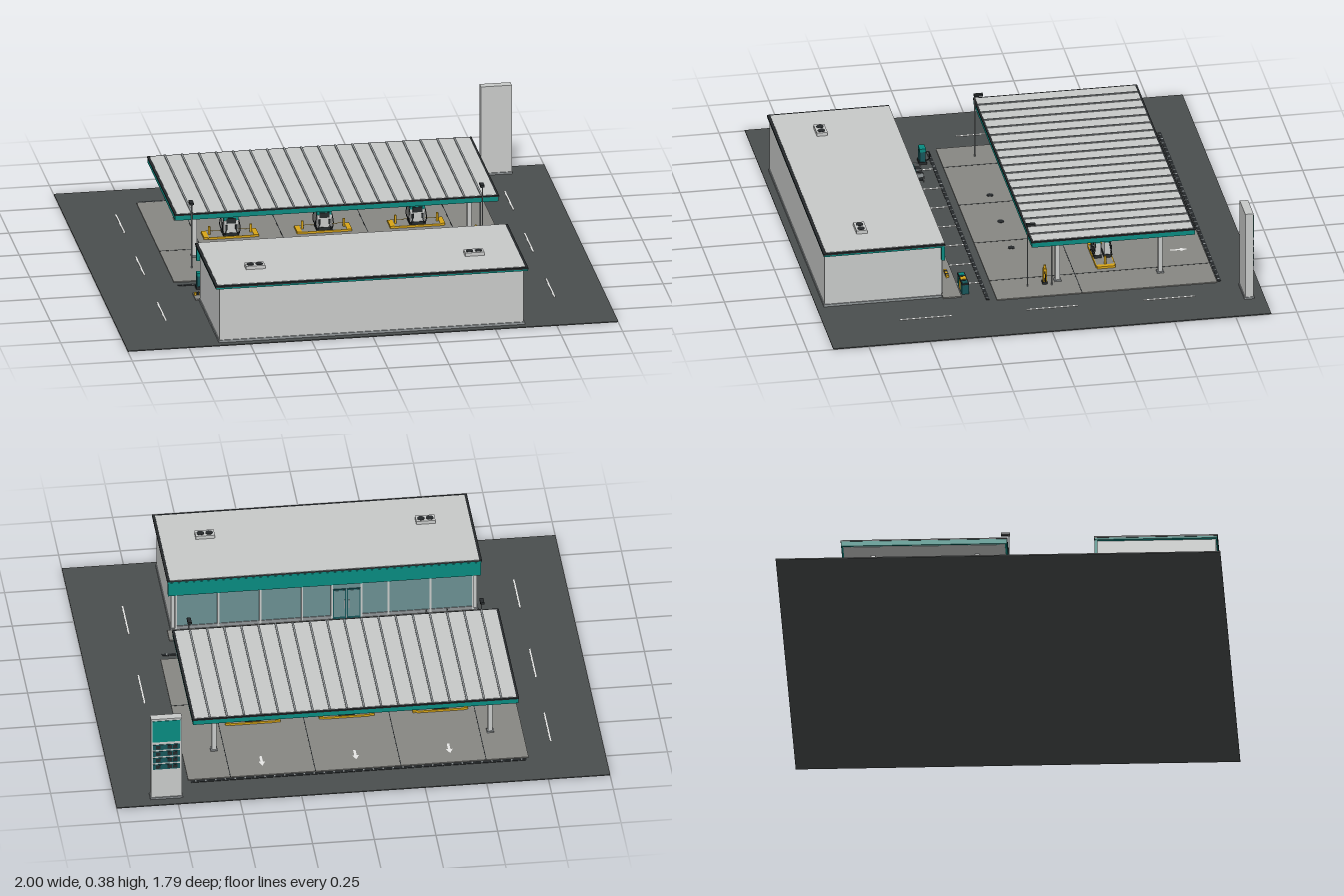
import * as THREE from 'three';

const mat = (name, color, side = THREE.FrontSide) => {
  const m = new THREE.MeshStandardMaterial({ color, side });
  m.name = name;
  return m;
};

export function createModel() {
  const asphalt = mat('asphalt', 0x4a4e4e), concrete = mat('concrete', 0x878783);
  const panel = mat('light panel', 0xc8cac9), teal = mat('teal', 0x078a80);
  const dark = mat('dark trim', 0x25292b), glass = mat('glass', 0x6b8f92);
  const yellow = mat('safety yellow', 0xd9a516), white = mat('white', 0xf0f0ee);
  const steel = mat('steel', 0x8f9496), deepTeal = mat('deep teal', 0x16565a);

  const model = new THREE.Group();
  model.name = 'fuelStation';
  const group = (name, x = 0, z = 0, parent = model) => {
    const g = new THREE.Group();
    g.name = name;
    g.position.set(x, 0, z);
    parent.add(g);
    return g;
  };
  const add = (parent, name, geo, m, x, y, z) => {
    const mesh = new THREE.Mesh(geo, m);
    mesh.name = name;
    mesh.position.set(x, y, z);
    parent.add(mesh);
    return mesh;
  };
  // Box given by its minimum and maximum on each axis
  const box = (p, name, m, x0, x1, y0, y1, z0, z1) =>
    add(p, name, new THREE.BoxGeometry(x1 - x0, y1 - y0, z1 - z0), m, (x0 + x1) / 2, (y0 + y1) / 2, (z0 + z1) / 2);
  const cyl = (p, name, m, r, y0, y1, x, z, n = 12) =>
    add(p, name, new THREE.CylinderGeometry(r, r, y1 - y0, n), m, x, (y0 + y1) / 2, z);
  const hose = (p, name, m, pts, r = 0.002) =>
    add(p, name, new THREE.TubeGeometry(new THREE.CatmullRomCurve3(pts.map(a => new THREE.Vector3(...a))), 12, r, 6), m, 0, 0, 0);

  // Site: asphalt, forecourt slab, joints, drains and road markings
  const site = group('site');
  box(site, 'ground', asphalt, -1, 1, 0, 0.004, -0.895, 0.895);
  box(site, 'forecourt', concrete, -0.69, 0.69, 0.003, 0.008, -0.73, 0.17);
  for (const x of [-0.518, -0.173, 0.173, 0.518])
    box(site, 'slabJoint', dark, x - 0.0015, x + 0.0015, 0.007, 0.0088, -0.73, 0.17);
  box(site, 'slabJoint', dark, -0.69, 0.69, 0.007, 0.0088, -0.18, -0.177);
  for (const z of [-0.741, 0.205]) {
    box(site, 'drain', dark, -0.68, 0.68, 0.003, 0.006, z - 0.007, z + 0.007);
    for (let i = 0; i < 34; i++) {
      const x = -0.66 + i * 0.04;
      box(site, 'drainBar', steel, x - 0.003, x + 0.003, 0.005, 0.0068, z - 0.006, z + 0.006);
    }
  }
  for (const x of [-0.793, 0.793])
    for (const z of [-0.515, -0.037, 0.48])
      box(site, 'roadDash', white, x - 0.003, x + 0.003, 0.003, 0.0055, z - 0.105, z + 0.105);
  for (let i = -3; i <= 3; i++)
    box(site, 'bayLine', white, i * 0.173 - 0.003, i * 0.173 + 0.003, 0.003, 0.0055, 0.212, 0.305);
  const arrow = new THREE.Shape([[0, 0.03], [0.014, 0], [0.005, 0], [0.005, -0.04], [-0.005, -0.04], [-0.005, 0], [-0.014, 0]]
    .map(a => new THREE.Vector2(...a)));
  for (const x of [-0.38, 0, 0.38])
    add(site, 'laneArrow', new THREE.ShapeGeometry(arrow), white, x, 0.0092, -0.635).rotation.x = -Math.PI / 2;
  for (const x of [-0.24, 0, 0.24]) cyl(site, 'tankCover', dark, 0.014, 0.007, 0.0095, x, 0.03, 16);

  // Canopy with fascia, ribbed roof and ceiling lights
  const canopy = group('canopy');
  box(canopy, 'canopyFascia', teal, -0.66, 0.66, 0.213, 0.235, -0.645, 0.022);
  box(canopy, 'canopyTrim', dark, -0.662, 0.662, 0.233, 0.238, -0.647, 0.024);
  box(canopy, 'canopyRoof', panel, -0.652, 0.652, 0.235, 0.2395, -0.638, 0.016);
  box(canopy, 'canopyCeiling', panel, -0.652, 0.652, 0.211, 0.214, -0.637, 0.014);
  for (let i = 1; i < 19; i++) {
    const x = -0.66 + i * 1.32 / 19;
    box(canopy, 'roofRib', steel, x - 0.004, x + 0.004, 0.238, 0.243, -0.64, 0.018);
  }
  for (const x of [-0.48, -0.19, 0.19, 0.48])
    for (const z of [-0.5, -0.31, -0.12])
      box(canopy, 'ceilingLight', white, x - 0.03, x + 0.03, 0.208, 0.212, z - 0.015, z + 0.015);
  for (const x of [-0.56, 0.56])
    for (const z of [-0.1, -0.52]) {
      box(canopy, 'column', panel, x - 0.009, x + 0.009, 0.007, 0.212, z - 0.009, z + 0.009);
      box(canopy, 'columnFoot', steel, x - 0.014, x + 0.014, 0.007, 0.014, z - 0.014, z + 0.014);
    }

  // Lamp posts beside the canopy edge
  for (const x of [-0.593, 0.593]) {
    const lamp = group('lampPost', x, 0.012 + 0.016);
    cyl(lamp, 'lampPole', steel, 0.0025, 0.004, 0.282, 0, 0, 8);
    box(lamp, 'lampHead', dark, -0.008, 0.008, 0.279, 0.288, -0.032, 0.004);
  }

  // Pump islands, each with a pair of dispensers
  for (const ix of [-0.38, 0, 0.38]) {
    const island = group('pumpIsland', ix, -0.3125);
    box(island, 'kerb', concrete, -0.095, 0.095, 0.007, 0.016, -0.037, 0.037);
    for (const s of [-1, 1]) {
      box(island, 'kerbEnd', yellow, s * 0.102 - 0.01, s * 0.102 + 0.01, 0.007, 0.017, -0.037, 0.037);
      box(island, 'kerbEdge', yellow, -0.095, 0.095, 0.007, 0.0165, s * 0.038 - 0.002, s * 0.038 + 0.002);
      cyl(island, 'bollard', yellow, 0.005, 0.015, 0.05, s * 0.085, 0);
      const pump = group('pump', 0, s * 0.02, island);
      box(pump, 'pumpBase', dark, -0.032, 0.032, 0.015, 0.03, -0.015, 0.015);
      box(pump, 'pumpCabinet', panel, -0.03, 0.03, 0.03, 0.082, -0.013, 0.013);
      box(pump, 'pumpHead', teal, -0.03, 0.03, 0.08, 0.102, -0.011, 0.011);
      box(pump, 'pumpScreen', dark, -0.02, 0.02, 0.07, 0.092, s * 0.013 - 0.002, s * 0.013 + 0.002);
      for (const k of [-1, 1]) {
        box(pump, 'nozzle', dark, k * 0.02 - 0.004, k * 0.02 + 0.004, 0.045, 0.064, s * 0.015 - 0.004, s * 0.015 + 0.004);
        hose(pump, 'pumpHose', dark, [[k * 0.02, 0.046, s * 0.016], [k * 0.028, 0.022, s * 0.019], [k * 0.036, 0.045, s * 0.014], [k * 0.031, 0.085, s * 0.008]]);
      }
    }
    box(island, 'laneMarker', teal, -0.02, 0.02, 0.18, 0.2, -0.003, 0.003);
    cyl(island, 'markerRod', steel, 0.002, 0.2, 0.212, 0, 0, 6);
  }

  // Air station with hose, and a thin vent pipe
  const air = group('airStation', 0.578, -0.045);
  box(air, 'airCabinet', yellow, -0.009, 0.009, 0.018, 0.075, -0.007, 0.007);
  box(air, 'airBase', dark, -0.012, 0.012, 0.007, 0.018, -0.01, 0.01);
  cyl(air, 'airCap', yellow, 0.005, 0.075, 0.09, 0, 0);
  hose(air, 'airHose', dark, [[0.009, 0.065, 0], [0.018, 0.04, 0], [0.014, 0.02, 0], [0.009, 0.035, 0]]);
  cyl(model, 'ventPipe', steel, 0.0025, 0.007, 0.212, 0.6, -0.07, 8);

  // Shop: walls, roof, trim and glazed front facing the pumps
  const shop = group('shop');
  box(shop, 'apron', concrete, -0.637, 0.637, 0.003, 0.009, 0.305, 0.38);
  box(shop, 'plinth', steel, -0.624, 0.624, 0.003, 0.014, 0.382, 0.866);
  box(shop, 'walls', panel, -0.62, 0.62, 0.01, 0.236, 0.385, 0.862);
  box(shop, 'roofBand', teal, -0.636, 0.636, 0.234, 0.243, 0.374, 0.868);
  box(shop, 'roofTrim', dark, -0.638, 0.638, 0.241, 0.248, 0.372, 0.87);
  box(shop, 'roofDeck', panel, -0.627, 0.627, 0.244, 0.2495, 0.372, 0.858);
  box(shop, 'fascia', teal, -0.634, 0.634, 0.175, 0.236, 0.373, 0.386);
  box(shop, 'glazing', glass, -0.6, 0.6, 0.025, 0.175, 0.381, 0.387);
  box(shop, 'sill', steel, -0.605, 0.605, 0.012, 0.026, 0.378, 0.387);
  for (const x of [-0.602, -0.43, -0.26, -0.15, -0.03, 0.09, 0.26, 0.43, 0.602])
    box(shop, 'mullion', panel, x - 0.004, x + 0.004, 0.012, 0.175, 0.377, 0.387);
  for (const s of [-1, 1]) {
    box(shop, 'doorLeaf', deepTeal, -0.09 + s * 0.029 - 0.027, -0.09 + s * 0.029 + 0.027, 0.01, 0.15, 0.377, 0.386);
    box(shop, 'doorGlass', glass, -0.09 + s * 0.029 - 0.023, -0.09 + s * 0.029 + 0.023, 0.02, 0.145, 0.3755, 0.38);
    box(shop, 'doorHandle', steel, -0.09 + s * 0.009 - 0.0015, -0.09 + s * 0.009 + 0.0015, 0.06, 0.1, 0.373, 0.378);
    // Rooftop cooling units
    const unit = group('coolingUnit', s * 0.447, 0.685, shop);
    box(unit, 'unitCase', panel, -0.039, 0.039, 0.249, 0.264, -0.022, 0.022);
    for (const k of [-1, 1]) cyl(unit, 'unitFan', dark, 0.015, 0.262, 0.2655, k * 0.018, 0, 16);
  }

  // Wheel stops in front of the shop, with a gap at the door
  for (const x of [-0.605, -0.433, -0.26, 0.086, 0.26, 0.433]) {
    box(model, 'wheelStop', yellow, x - 0.03, x + 0.03, 0.008, 0.018, 0.325, 0.337);
    for (const k of [-0.014, 0.014])
      box(model, 'wheelStopBand', dark, x + k - 0.006, x + k + 0.006, 0.009, 0.0188, 0.3245, 0.3375);
  }

  // Recycling bins
  [teal, yellow, deepTeal].forEach((m, i) => {
    const bin = group('recyclingBin', 0.522 + i * 0.037, 0.285);
    box(bin, 'binBody', m, -0.016, 0.016, 0.004, 0.046, -0.014, 0.014);
    box(bin, 'binLid', dark, -0.017, 0.017, 0.045, 0.05, -0.015, 0.015);
    box(bin, 'binTop', m, -0.013, 0.013, 0.049, 0.052, -0.011, 0.011);
  });

  // Vacuum station with hose
  const vac = group('vacuumStation', -0.59, 0.245);
  box(vac, 'vacuumBase', dark, -0.024, 0.024, 0.004, 0.014, -0.016, 0.016);
  box(vac, 'vacuumBody', deepTeal, -0.02, 0.02, 0.014, 0.06, -0.012, 0.012);
  box(vac, 'vacuumTop', teal, -0.021, 0.021, 0.058, 0.072, -0.013, 0.013);
  hose(vac, 'vacuumHose', dark, [[0, 0.05, -0.012], [0.01, 0.048, -0.028], [0.012, 0.02, -0.026], [0.018, 0.02, -0.012]], 0.003);

  // Shopping carts and their rail
  const carts = group('cartBay', -0.45, 0.285);
  for (const x of [-0.02, 0.02]) {
    box(carts, 'cartBasket', steel, x - 0.014, x + 0.014, 0.022, 0.04, -0.016, 0.016);
    box(carts, 'cartInside', dark, x - 0.011, x + 0.011, 0.039, 0.0408, -0.013, 0.013);
    box(carts, 'cartFrame', dark, x - 0.012, x + 0.012, 0.008, 0.011, -0.014, 0.014);
    for (const k of [-1, 1]) box(carts, 'cartLeg', dark, x + k * 0.011 - 0.001, x + k * 0.011 + 0.001, 0.004, 0.05, 0.013, 0.016);
    box(carts, 'cartHandle', deepTeal, x - 0.014, x + 0.014, 0.048, 0.051, 0.013, 0.018);
  }
  for (const x of [-0.042, 0.042])
    hose(carts, 'cartRail', steel, [[x, 0.004, -0.015], [x, 0.045, -0.013], [x, 0.052, 0], [x, 0.052, 0.05], [x, 0.045, 0.06], [x, 0.004, 0.062]], 0.0015);

  // Price pylon, its display facing the road behind
  const sign = group('pricePylon', 0.792, -0.832);
  box(sign, 'pylonFoot', steel, -0.066, 0.066, 0.003, 0.012, -0.021, 0.021);
  box(sign, 'pylonBody', panel, -0.063, 0.063, 0.01, 0.384, -0.017, 0.017);
  box(sign, 'pylonHeader', teal, -0.057, 0.057, 0.275, 0.375, -0.019, -0.016);
  for (let i = 0; i < 4; i++) {
    const y = 0.25 - i * 0.031;
    box(sign, 'priceRow', deepTeal, -0.055, 0.055, y - 0.012, y + 0.012, -0.019, -0.016);
    for (const x of [-0.035, -0.012, 0.035])
      box(sign, 'priceCell', dark, x - 0.009, x + 0.009, y - 0.008, y + 0.008, -0.0197, -0.018);
  }
  return model;
}
